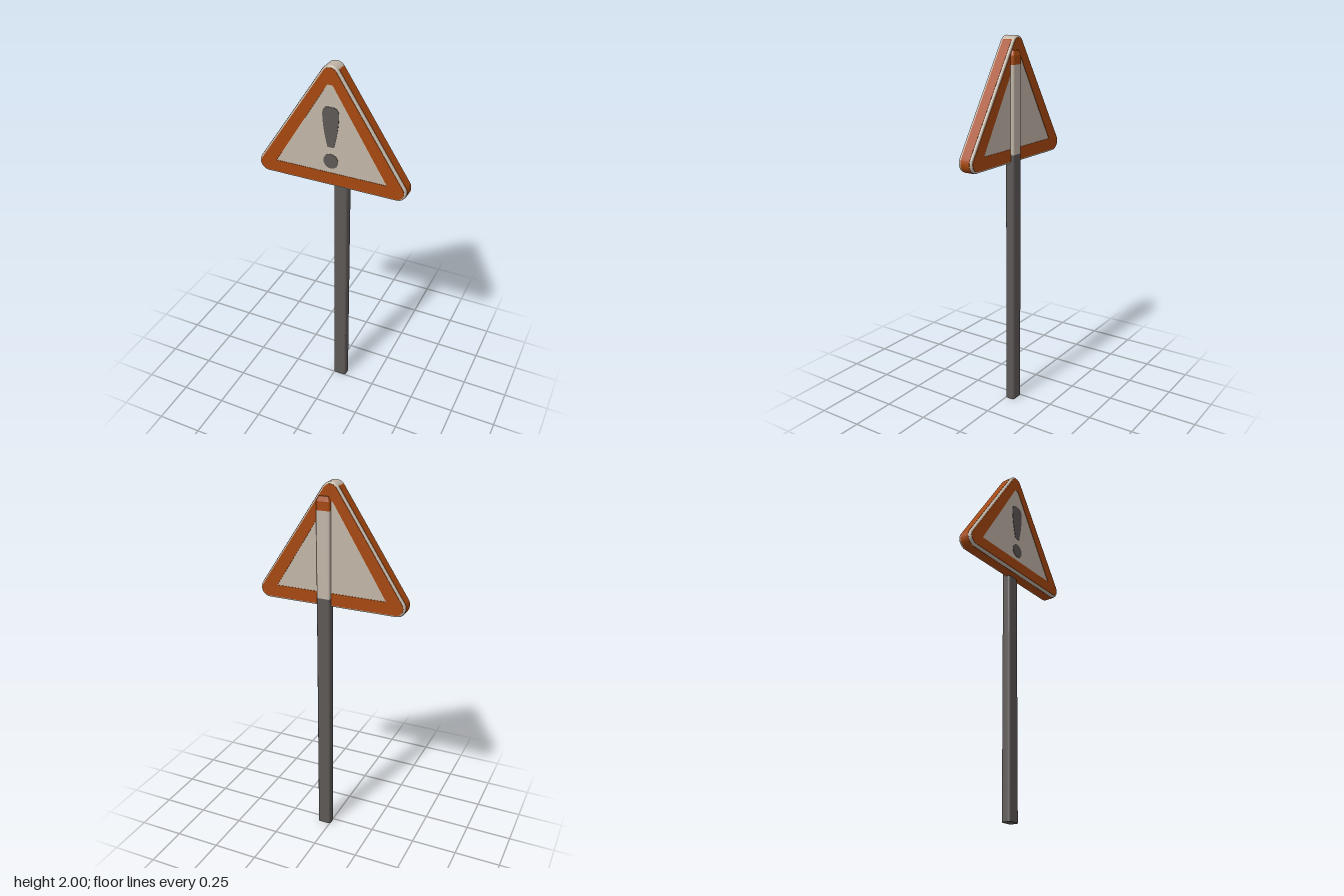
import * as THREE from 'three';

const mat = (name, color) => {
  const m = new THREE.MeshStandardMaterial({ color });
  m.name = name;
  return m;
};

// Rounded triangle: three corner circles joined by straight edges
function triangle(r, cap = Infinity) {
  const corners = [[0.355, 1.41, -90, 34], [0, 1.95, 34, 146], [-0.355, 1.41, 146, 270]];
  const pts = [];
  for (const [cx, cy, a0, a1] of corners) {
    for (let i = 0; i <= 10; i++) {
      const a = THREE.MathUtils.degToRad(a0 + (a1 - a0) * i / 10);
      pts.push(new THREE.Vector2(cx + r * Math.cos(a), Math.min(cap, cy + r * Math.sin(a))));
    }
  }
  return pts;
}

export function createModel() {
  const cream = mat('cream', 0xc2b6a8);
  const orange = mat('orange', 0xa6480f);
  const grey = mat('grey', 0x5c5856);
  const group = new THREE.Group();

  const add = (name, geometry, material) => {
    const mesh = new THREE.Mesh(geometry, material);
    mesh.name = name;
    group.add(mesh);
    return mesh;
  };
  // Flat slab between two z values
  const slab = (name, shape, z0, z1, material) => {
    const g = new THREE.ExtrudeGeometry(shape, { depth: z1 - z0, bevelEnabled: false, curveSegments: 24 });
    return add(name, g.translate(0, 0, z0), material);
  };

  // Sign body with softened edges
  const body = new THREE.ExtrudeGeometry(new THREE.Shape(triangle(0.04)), {
    depth: 0.061, bevelThickness: 0.01, bevelSize: 0.01, bevelSegments: 3,
  });
  add('signBody', body.translate(0, 0, -0.0225), cream);

  // Painted band round the sides, leaving the tip cream
  slab('edgeBand', new THREE.Shape(triangle(0.0515, 1.983)), -0.02, 0.033, orange);

  // Warning borders on both faces
  const border = new THREE.Shape(triangle(0.04));
  border.holes.push(new THREE.Path([
    [-0.305, 1.435], [-0.014, 1.905], [0.014, 1.905], [0.305, 1.435],
  ].map(([x, y]) => new THREE.Vector2(x, y))));
  slab('frontBorder', border, 0.047, 0.0505, orange);
  slab('backBorder', border, -0.035, -0.031, orange);

  // Exclamation mark
  const stroke = new THREE.Shape();
  stroke.moveTo(-0.014, 1.578);
  stroke.lineTo(0.02, 1.578);
  stroke.quadraticCurveTo(0.047, 1.68, 0.047, 1.755);
  stroke.quadraticCurveTo(0.047, 1.793, 0.01, 1.793);
  stroke.lineTo(-0.004, 1.793);
  stroke.quadraticCurveTo(-0.041, 1.793, -0.041, 1.755);
  stroke.quadraticCurveTo(-0.041, 1.68, -0.014, 1.578);
  slab('markStroke', stroke, 0.047, 0.0505, grey);
  const dot = new THREE.Shape();
  dot.absarc(0.003, 1.5, 0.04, 0, Math.PI * 2);
  slab('markDot', dot, 0.047, 0.0505, grey);

  // Post: rounded bar, painted in sections along its height
  const bar = new THREE.Shape();
  const w = 0.038, d = 0.026, r = 0.014;
  bar.moveTo(-w + r, -d);
  bar.lineTo(w - r, -d);
  bar.quadraticCurveTo(w, -d, w, -d + r);
  bar.lineTo(w, d - r);
  bar.quadraticCurveTo(w, d, w - r, d);
  bar.lineTo(-w + r, d);
  bar.quadraticCurveTo(-w, d, -w, d - r);
  bar.lineTo(-w, -d + r);
  bar.quadraticCurveTo(-w, -d, -w + r, -d);
  const post = (name, y0, y1, material, taper = 1) => {
    const g = new THREE.ExtrudeGeometry(bar, { depth: y1 - y0, bevelEnabled: false, curveSegments: 6 });
    g.rotateX(-Math.PI / 2);
    const p = g.attributes.position;
    for (let i = 0; i < p.count; i++) {
      if (p.getY(i) > (y1 - y0) / 2) {
        p.setX(i, p.getX(i) * taper);
        p.setZ(i, p.getZ(i) * taper);
      }
    }
    g.computeVertexNormals();
    add(name, g, material).position.set(0.034, y0, -0.026);
  };
  post('post', 0, 1.405, grey);
  post('upperPost', 1.405, 1.86, cream);
  post('postTop', 1.86, 1.905, orange);
  post('postCap', 1.905, 1.93, orange, 0.7);

  return group;
}
